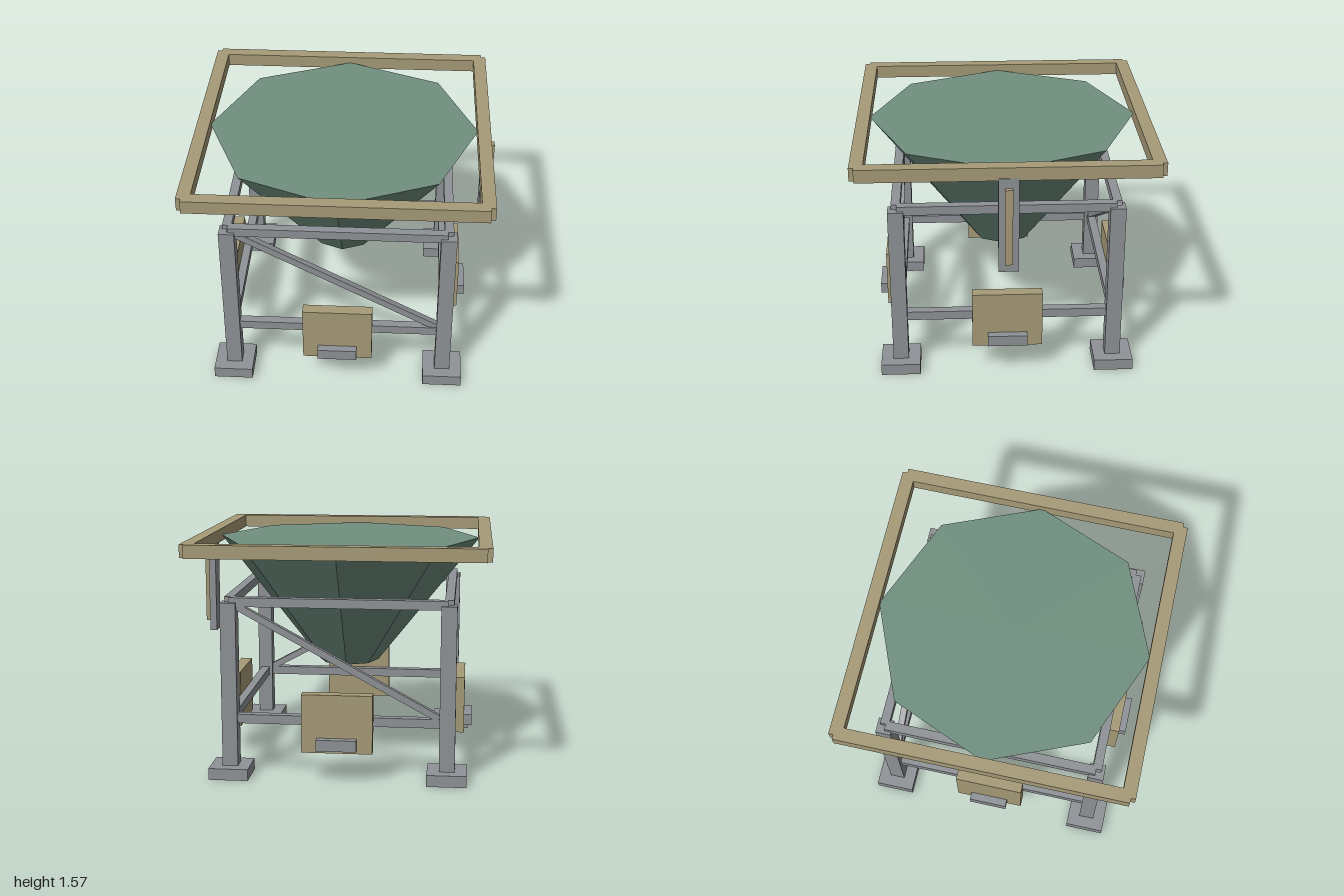
import * as THREE from 'three';

const steel = new THREE.MeshStandardMaterial({ color: 0x8f9296 });
steel.name = 'steel grey';
const tan = new THREE.MeshStandardMaterial({ color: 0xa69b77 });
tan.name = 'olive tan';
const green = new THREE.MeshStandardMaterial({ color: 0x709080, flatShading: true });
green.name = 'hopper green';

function box(parent, name, material, size, pos) {
  const mesh = new THREE.Mesh(new THREE.BoxGeometry(...size), material);
  mesh.name = name;
  mesh.position.set(...pos);
  parent.add(mesh);
  return mesh;
}

export function createModel() {
  const model = new THREE.Group();
  model.name = 'hopperStand';

  // The stand is symmetric about its own axis, shifted by the side gauge
  const stand = new THREE.Group();
  stand.name = 'stand';
  stand.position.x = -0.0185;
  model.add(stand);

  const L = 0.717; // leg offset from the axis
  const topY = 1.175, lowY = 0.395;

  // Eight-sided funnel
  const funnel = new THREE.Mesh(new THREE.CylinderGeometry(0.903, 0.208, 0.872, 8), green);
  funnel.name = 'funnel';
  funnel.position.y = 1.091;
  stand.add(funnel);

  // Legs and feet
  for (const sx of [-1, 1]) {
    for (const sz of [-1, 1]) {
      box(stand, 'leg', steel, [0.103, 1.13, 0.103], [sx * L, 0.608, sz * L]);
      box(stand, 'foot', steel, [0.262, 0.077, 0.262], [sx * L, 0.0385, sz * L]);
    }
  }

  // Each side: rim bar, upper and lower rails, hatch with handle
  for (let i = 0; i < 4; i++) {
    const side = new THREE.Group();
    side.name = 'side';
    side.rotation.y = i * Math.PI / 2;
    stand.add(side);
    box(side, 'rimBar', tan, [1.9, 0.087, 0.087], [0, 1.53, 0.938]);
    box(side, 'upperRail', steel, [1.42, 0.06, 0.06], [0, topY, L]);
    box(side, 'lowerRail', steel, [1.42, 0.06, 0.06], [0, lowY, L]);
    box(side, 'hatch', tan, [0.466, 0.39, 0.078], [0, 0.393, 0.782]);
    box(side, 'handle', steel, [0.262, 0.075, 0.075], [0, 0.262, 0.836]);
  }

  // Diagonal braces on front and back, leaning opposite ways
  const rise = topY - lowY;
  for (const s of [1, -1]) {
    const brace = box(stand, 'brace', steel, [Math.hypot(2 * L, rise), 0.045, 0.045],
      [0, (topY + lowY) / 2, s * L]);
    brace.rotation.z = -s * Math.atan2(rise, 2 * L);
  }

  // Level gauge hanging from the left rim
  box(model, 'gaugePlate', steel, [0.047, 0.65, 0.13], [0.943, 1.177, 0]);
  box(model, 'gaugeStrip', tan, [0.045, 0.52, 0.05], [0.9775, 1.177, 0]);

  return model;
}
